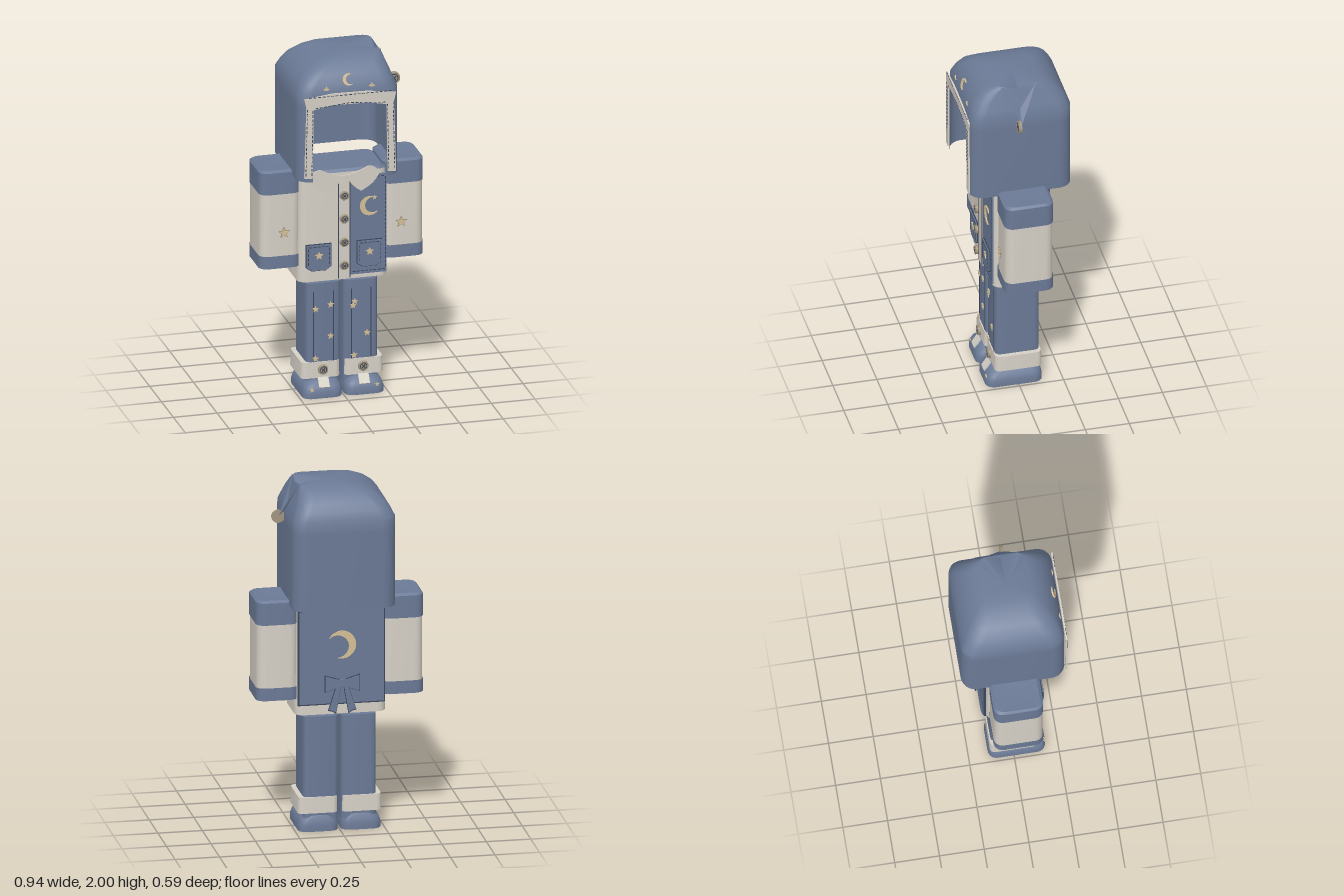
import * as THREE from 'three';
import { toCreasedNormals } from 'three/addons/utils/BufferGeometryUtils.js';

const mat = (name, color) => new THREE.MeshStandardMaterial({ name, color, side: THREE.DoubleSide });

export function createModel() {
  const root = new THREE.Group();
  root.name = 'pajamaOutfit';
  const blue = mat('dusty blue', 0x6b7a96), cream = mat('cream', 0xd6d0c6), gold = mat('pale gold', 0xd6c096);
  const navy = mat('dark navy', 0x3c465a), tan = mat('button tan', 0xa3967f);

  const add = (name, geo, m, x = 0, y = 0, z = 0, parent = root) => {
    const mesh = new THREE.Mesh(geo, m);
    mesh.name = name;
    mesh.position.set(x, y, z);
    parent.add(mesh);
    return mesh;
  };
  const group = (name, parent = root) => {
    const g = new THREE.Group();
    g.name = name;
    parent.add(g);
    return g;
  };

  // Rounded-rectangle loop; the last point is the middle of the +x side, lowered by dip
  const SEG = 6;
  const ring = ([y, x0, x1, z0, z1, r, dip = 0]) => {
    const pts = [];
    [[x1 - r, z1 - r], [x0 + r, z1 - r], [x0 + r, z0 + r], [x1 - r, z0 + r]].forEach(([cx, cz], q) => {
      for (let i = 0; i <= SEG; i++) {
        const a = (q + i / SEG) * Math.PI / 2;
        pts.push([cx + r * Math.cos(a), y, cz + r * Math.sin(a)]);
      }
    });
    pts.push([x1, y - dip, (z0 + z1) / 2]);
    return pts;
  };
  // Skin over loops, with an optional cap centre and an optional skipped front strip
  const loft = (rows, cap, openBelow = -Infinity) => {
    const rings = rows.map(ring), n = rings[0].length, pos = rings.flat(2), idx = [];
    for (let j = 0; j < rings.length - 1; j++) for (let i = 0; i < n; i++) {
      if (i === SEG && rows[j + 1][0] <= openBelow) continue;
      const k = (i + 1) % n, a = j * n + i, b = j * n + k, c = b + n, d = a + n;
      idx.push(a, d, b, b, d, c);
    }
    if (cap) {
      const top = (rings.length - 1) * n;
      pos.push(...cap);
      for (let i = 0; i < n; i++) idx.push(rings.length * n, top + (i + 1) % n, top + i);
    }
    const g = new THREE.BufferGeometry();
    g.setAttribute('position', new THREE.Float32BufferAttribute(pos, 3));
    g.setIndex(idx);
    return toCreasedNormals(g, 0.6);
  };

  // Flat applique shapes
  const poly = pts => new THREE.Shape(pts.map(p => new THREE.Vector2(p[0], p[1])));
  const starShape = (r, n = 5) => poly(Array.from({ length: n * 2 }, (_, i) => {
    const a = Math.PI / 2 + i * Math.PI / n, q = i % 2 ? r * 0.45 : r;
    return [q * Math.cos(a), q * Math.sin(a)];
  }));
  const moonShape = r => {
    const s = new THREE.Shape(), a = 0.87, c = 0.35 * r;
    const px = r * Math.cos(a) - c, py = r * Math.sin(a), b = Math.atan2(py, px);
    s.absarc(0, 0, r, a, 2 * Math.PI - a, false);
    s.absarc(c, 0, Math.hypot(px, py), -b, b, true);
    return s;
  };
  const plate = (name, shape, m, x, y, z, depth = 0.006, parent = root) =>
    add(name, new THREE.ExtrudeGeometry(shape, { depth, bevelEnabled: false, curveSegments: 16 }), m, x, y, z, parent);
  // Dashed seam between two points
  const stitch = (x0, y0, x1, y1, z) => {
    const len = Math.hypot(x1 - x0, y1 - y0), n = Math.max(1, Math.round(len / 0.025));
    for (let i = 0; i < n; i++) {
      const t = (i + 0.5) / n;
      add('stitch', new THREE.BoxGeometry(len / n * 0.65, 0.004, 0.003), navy, x0 + (x1 - x0) * t, y0 + (y1 - y0) * t, z)
        .rotation.z = Math.atan2(y1 - y0, x1 - x0);
    }
  };
  const button = (name, x, y, z, r) => {
    const g = group(name);
    g.position.set(x, y, z);
    add('buttonDisc', new THREE.CylinderGeometry(r * 0.8, r, 0.014, 20), tan, 0, 0, 0, g).rotation.x = Math.PI / 2;
    add('buttonRim', new THREE.TorusGeometry(r * 0.85, r * 0.12, 6, 20), tan, 0, 0, 0.006, g);
    add('buttonGroove', new THREE.RingGeometry(r * 0.55, r * 0.7, 20), navy, 0, 0, 0.0078, g);
    for (const s of [-1, 1])
      add('buttonThread', new THREE.BoxGeometry(r * 0.9, r * 0.2, 0.004), navy, 0, 0, 0.008, g).rotation.z = s * Math.PI / 4;
  };

  // Hood: hollow, open at the face and neck, with a creased crown
  add('hood', loft([
    [1.32, -0.29, 0.29, -0.295, 0.283, 0.08], [1.76, -0.29, 0.29, -0.295, 0.283, 0.08],
    [1.83, -0.29, 0.288, -0.295, 0.281, 0.08], [1.88, -0.266, 0.268, -0.272, 0.262, 0.08],
    [1.92, -0.236, 0.253, -0.25, 0.242, 0.08], [1.96, -0.185, 0.238, -0.213, 0.207, 0.08],
    [1.985, -0.13, 0.23, -0.175, 0.17, 0.07], [2.0, -0.06, 0.223, -0.135, 0.13, 0.05, 0.05],
  ], [0.03, 2.0, 0], 1.77), blue);
  // Folded tip hanging over the model's left side
  const tip = new THREE.BufferGeometry();
  tip.setAttribute('position', new THREE.Float32BufferAttribute([
    0.224, 2, 0.1, 0.32, 1.79, 0.005, 0.224, 1.95, 0, 0.224, 1.95, 0, 0.32, 1.79, 0.005, 0.224, 2, -0.1,
    0.224, 2, 0.1, 0.286, 1.84, 0.02, 0.32, 1.79, 0.005, 0.224, 2, -0.1, 0.32, 1.79, 0.005, 0.286, 1.84, -0.02,
  ], 3));
  tip.computeVertexNormals();
  add('hoodTip', tip, blue);
  button('hoodButton', 0.322, 1.787, 0.018, 0.038);

  // Trim around the face opening
  plate('faceTrim', poly([[-0.262, 1.35], [-0.215, 1.345], [-0.208, 1.75], [-0.1, 1.768], [0.1, 1.765], [0.208, 1.745],
    [0.215, 1.35], [0.262, 1.345], [0.25, 1.76], [0.262, 1.81], [0.1, 1.832], [-0.1, 1.835], [-0.262, 1.815], [-0.25, 1.76]]),
    cream, 0, 0, 0.285, 0.009);
  for (const s of [-1, 1]) {
    stitch(s * 0.22, 1.36, s * 0.213, 1.75, 0.2935);
    stitch(s * 0.254, 1.36, s * 0.245, 1.76, 0.2935);
    stitch(0, 1.775, s * 0.205, 1.757, 0.2935);
    plate('hoodStar', starShape(0.02, 4), gold, s * 0.13, 1.855, 0.268);
  }
  stitch(-0.24, 1.822, 0.24, 1.822, 0.2935);
  plate('hoodMoon', moonShape(0.034), gold, 0, 1.897, 0.254, 0.008).rotation.x = -0.3;

  // Jacket body
  add('jacketBody', loft([[0.68, -0.255, 0.255, -0.153, 0.148, 0.05], [1.31, -0.25, 0.25, -0.15, 0.145, 0.05]]), cream);
  add('jacketYoke', loft([[1.308, -0.25, 0.25, -0.15, 0.145, 0.05], [1.325, -0.23, 0.23, -0.135, 0.13, 0.045]], [0, 1.325, 0]), blue);
  add('leftFrontPanel', new THREE.BoxGeometry(0.21, 0.58, 0.009), blue, 0.14, 0.995, 0.152);
  add('placket', new THREE.BoxGeometry(0.065, 0.61, 0.012), cream, 0, 0.99, 0.156);
  for (const x of [-0.032, 0.034]) add('placketSeam', new THREE.BoxGeometry(0.004, 0.6, 0.004), navy, x, 0.99, 0.161);
  stitch(0.045, 0.722, 0.24, 0.722, 0.158);
  stitch(0.238, 0.73, 0.238, 1.27, 0.158);
  stitch(0.05, 1.272, 0.235, 1.272, 0.158);
  for (const y of [1.185, 1.048, 0.91, 0.773]) button('jacketButton', -0.004, y, 0.185, 0.026);
  plate('chestMoon', moonShape(0.056), gold, 0.147, 1.103, 0.158).rotation.z = 0.25;
  plate('chestStar', starShape(0.014), gold, 0.175, 1.15, 0.158);

  for (const s of [-1, 1]) {
    // Collar
    const petal = new THREE.Shape();
    petal.moveTo(s * 0.012, 1.3);
    petal.quadraticCurveTo(s * 0.03, 1.24, s * 0.095, 1.2);
    petal.quadraticCurveTo(s * 0.18, 1.24, s * 0.2, 1.3);
    petal.quadraticCurveTo(s * 0.17, 1.35, s * 0.13, 1.34);
    petal.quadraticCurveTo(s * 0.08, 1.31, s * 0.012, 1.3);
    plate('collar', petal, cream, 0, 0, 0.164, 0.008);

    // Pockets
    const pocket = k => poly([[-0.073, 0.08], [0.073, 0.08], [0.073, -0.055], [0.04, -0.078], [-0.04, -0.078], [-0.073, -0.055]]
      .map(p => [p[0] * k, p[1] * k]));
    plate('pocketEdge', pocket(1), navy, s * 0.145, 0.825, 0.157, 0.006);
    plate('pocket', pocket(0.95), blue, s * 0.145, 0.825, 0.163, 0.005);
    plate('pocketStar', starShape(0.025), gold, s * 0.145, 0.838, 0.169, 0.004);
    stitch(s * 0.145 - 0.06, 0.89, s * 0.145 + 0.06, 0.89, 0.169);
    for (const e of [-1, 1]) stitch(s * 0.145 + e * 0.06, 0.78, s * 0.145 + e * 0.06, 0.885, 0.169);

    // Sleeves, open at the bottom
    const X = (a, b) => s > 0 ? [a, b] : [-b, -a];
    const sleeve = (name, y0, y1, e, m, cap) => {
      const [a, b] = X(0.238 - e, 0.466 + e), r = 0.05;
      const rows = [[y0, a, b, -0.142 - e, 0.128 + e, r], [y1, a, b, -0.142 - e, 0.128 + e, r]];
      if (cap) rows.push([y1 + 0.012, a + 0.012, b - 0.012, -0.13, 0.115, 0.045]);
      add(name, loft(rows, cap ? [s * 0.352, y1 + 0.004, -0.007] : null), m);
    };
    sleeve('sleeve', 0.77, 1.22, 0, cream);
    sleeve('sleeveCuff', 0.772, 0.845, 0.004, blue);
    sleeve('shoulder', 1.208, 1.335, 0.004, blue, true);
    plate('sleeveStarEdge', starShape(0.036), tan, s * 0.335, 0.98, 0.13, 0.006);
    plate('sleeveStar', starShape(0.027), gold, s * 0.335, 0.98, 0.136, 0.003);

    // Trouser legs and turned cuffs
    add('trouserLeg', loft([[0.06, ...X(0.008, 0.205), -0.125, 0.125, 0.03], [0.66, ...X(0.008, 0.205), -0.125, 0.125, 0.03]],
      [s * 0.106, 0.66, 0]), blue);
    add('trouserCuff', loft([[0.104, ...X(0.012, 0.235), -0.133, 0.133, 0.03], [0.197, ...X(0.012, 0.232), -0.131, 0.131, 0.03]],
      [s * 0.12, 0.197, 0]), cream);
    for (const x of [0.052, 0.165])
      add('trouserCrease', new THREE.BoxGeometry(0.005, 0.42, 0.004), navy, s * x, 0.4, 0.126);
    button('cuffButton', s * 0.115, 0.155, 0.144, 0.029);

    // Shoes, hollow underneath
    add('shoe', loft([[0, ...X(0.008, 0.232), -0.14, 0.18, 0.05], [0.035, ...X(0.008, 0.232), -0.14, 0.18, 0.05],
      [0.065, ...X(0.014, 0.222), -0.135, 0.168, 0.05], [0.09, ...X(0.03, 0.2), -0.125, 0.145, 0.05],
      [0.104, ...X(0.055, 0.175), -0.1, 0.11, 0.05]], [s * 0.115, 0.106, 0]), blue);
    add('shoePatch', new THREE.BoxGeometry(0.06, 0.06, 0.009), cream, s * 0.115, 0.085, 0.157).rotation.x = -0.6;
    plate('shoeStar', starShape(0.014), gold, s * 0.185, 0.05, 0.172);
  }

  // Scattered trouser stars
  for (const [x, y] of [[-0.155, 0.51], [-0.068, 0.53], [-0.155, 0.218], [-0.068, 0.345],
    [0.06, 0.512], [0.07, 0.535], [0.14, 0.345], [0.065, 0.218]])
    plate('trouserStar', starShape(0.02), gold, x, y, 0.129);

  // Back panel with moon and bow, built facing forward and turned around
  const back = group('backPanel');
  back.rotation.y = Math.PI;
  add('backEdge', new THREE.BoxGeometry(0.49, 0.55, 0.012), navy, 0, 1.015, 0.165, back);
  add('backCloth', new THREE.BoxGeometry(0.475, 0.535, 0.009), blue, 0, 1.015, 0.17, back);
  plate('backMoon', moonShape(0.08), gold, 0, 1.085, 0.175, 0.006, back).rotation.z = Math.PI + 0.4;
  for (const s of [-1, 1]) {
    const parts = { bowLoop: [[0, 0.885], [0.1, 0.915], [0.1, 0.815], [0, 0.85]],
      bowTail: [[0.005, 0.86], [0.035, 0.85], [0.08, 0.71], [0.055, 0.705], [0.035, 0.69]] };
    for (const [name, pts] of Object.entries(parts)) {
      const shape = pts.map(([x, y]) => [s * x, y]);
      const cx = shape.reduce((a, p) => a + p[0], 0) / pts.length, cy = shape.reduce((a, p) => a + p[1], 0) / pts.length;
      plate(name + 'Edge', poly(shape), navy, 0, 0, 0.185, 0.008, back);
      plate(name, poly(shape.map(([x, y]) => [cx + (x - cx) * 0.88, cy + (y - cy) * 0.9])), blue, 0, 0, 0.193, 0.004, back);
    }
  }
  add('bowKnot', new THREE.BoxGeometry(0.035, 0.045, 0.014), blue, 0, 0.867, 0.193, back);

  return root;
}
